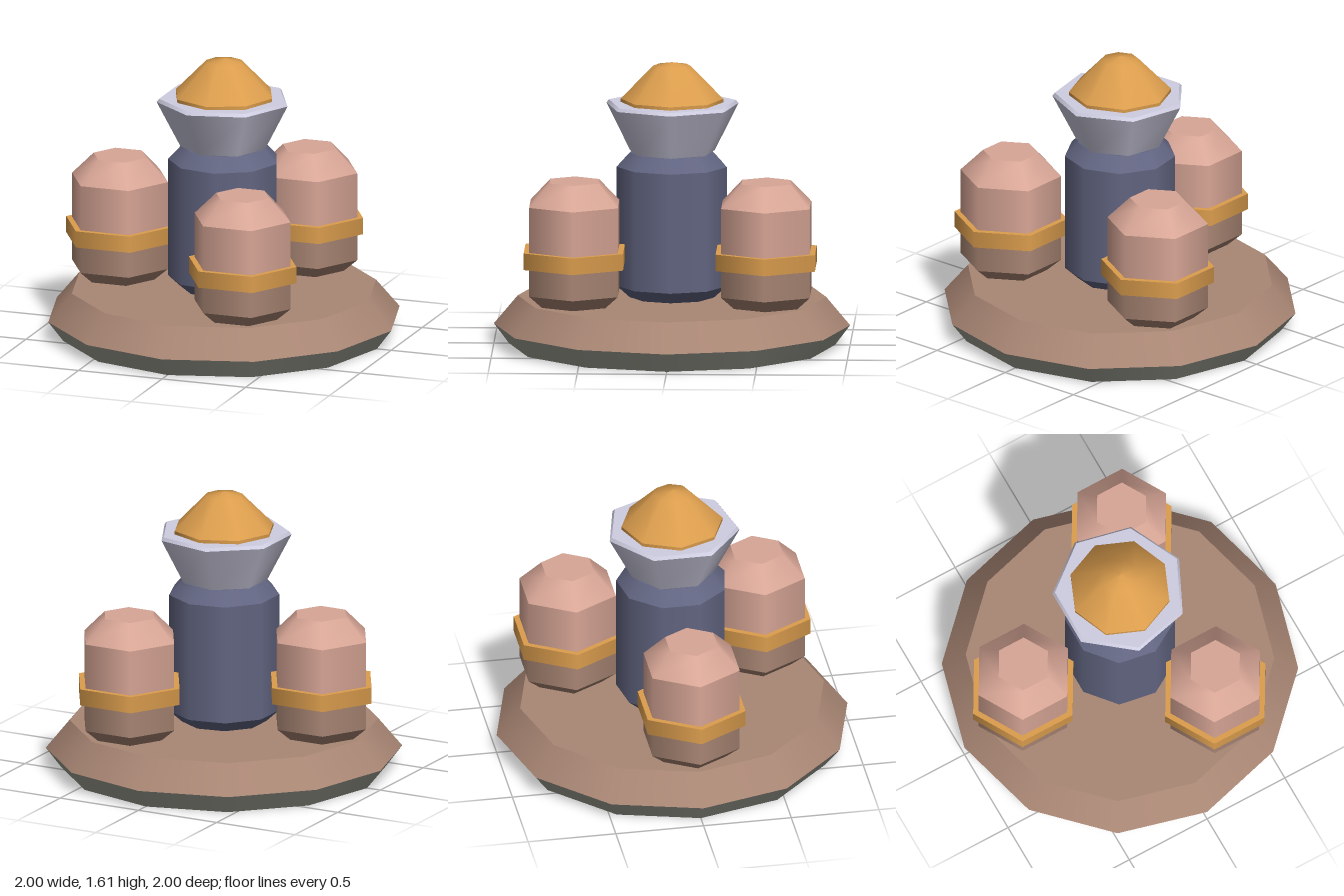
import * as THREE from 'three';

const mat = (name, color) => {
  const m = new THREE.MeshStandardMaterial({ color });
  m.name = name;
  return m;
};

// Stacked facet rings: profile is [radius, y] from bottom to top; each band
// is smooth around and sharp at its rims. Corners start on +x.
function stack(name, sides, profile, material, capBottom = true, capTop = true) {
  const group = new THREE.Group();
  group.name = name;
  const add = (geo, y, suffix) => {
    const mesh = new THREE.Mesh(geo, material);
    mesh.position.y = y;
    mesh.name = name + suffix;
    group.add(mesh);
  };
  for (let i = 0; i < profile.length - 1; i++) {
    const [r0, y0] = profile[i], [r1, y1] = profile[i + 1];
    add(new THREE.CylinderGeometry(r1, r0, y1 - y0, sides, 1, true, Math.PI / 2), (y0 + y1) / 2, 'Band' + i);
  }
  const cap = ([r, y], dir, suffix) =>
    add(new THREE.CircleGeometry(r, sides).rotateX(-dir * Math.PI / 2), y, suffix);
  if (capBottom) cap(profile[0], -1, 'Bottom');
  if (capTop) cap(profile[profile.length - 1], 1, 'Top');
  return group;
}

export function createModel() {
  const brown = mat('brown', 0xa98674);
  const pink = mat('dusty pink', 0xd8a696);
  const gold = mat('gold', 0xdb9d4d);
  const slate = mat('slate blue', 0x626581);
  const silver = mat('pale lavender', 0xcfcee2);
  const grey = mat('warm grey', 0xa2a298);
  const dark = mat('dark navy', 0x4a4b61);

  const model = new THREE.Group();
  model.name = 'podTower';

  // Twelve-sided base with a dark underside
  model.add(stack('baseUnderside', 12, [[0.915, 0]], dark, true, false));
  model.add(stack('baseLower', 12, [[0.915, 0], [1, 0.113]], grey, false, false));
  model.add(stack('baseUpper', 12, [[1, 0.113], [0.866, 0.273]], brown, false, true));

  // Central column and flared collar
  model.add(stack('column', 9, [[0.24, 0.273], [0.314, 0.34], [0.314, 1.018], [0.24, 1.097]], slate));
  model.add(stack('collar', 7, [[0.245, 1.097], [0.38, 1.36], [0.366, 1.378]], silver));

  // Dome on a thin rim, smooth over its rounded tip
  model.add(stack('domeRim', 8, [[0.288, 1.378], [0.288, 1.397]], gold, false, false));
  const domeProfile = [[0.288, 1.397], [0.105, 1.585], [0, 1.605]].map(([r, y]) => new THREE.Vector2(r, y));
  const dome = new THREE.Mesh(new THREE.LatheGeometry(domeProfile, 8), gold);
  dome.name = 'dome';
  model.add(dome);

  // Three banded hexagonal pods around the column
  for (let i = 0; i < 3; i++) {
    const a = Math.PI / 3 + i * 2 * Math.PI / 3;
    const pod = new THREE.Group();
    pod.name = 'pod' + (i + 1);
    pod.add(stack('podLower', 6, [[0.205, 0.273], [0.287, 0.343], [0.287, 0.55]], brown, true, false));
    pod.add(stack('podUpper', 6, [[0.287, 0.55], [0.287, 0.849], [0.158, 0.978]], pink, false, true));
    pod.add(stack('podBand', 6, [[0.322, 0.498], [0.322, 0.592]], gold));
    pod.position.set(0.622 * Math.cos(a), 0, 0.622 * Math.sin(a));
    model.add(pod);
  }
  return model;
}
